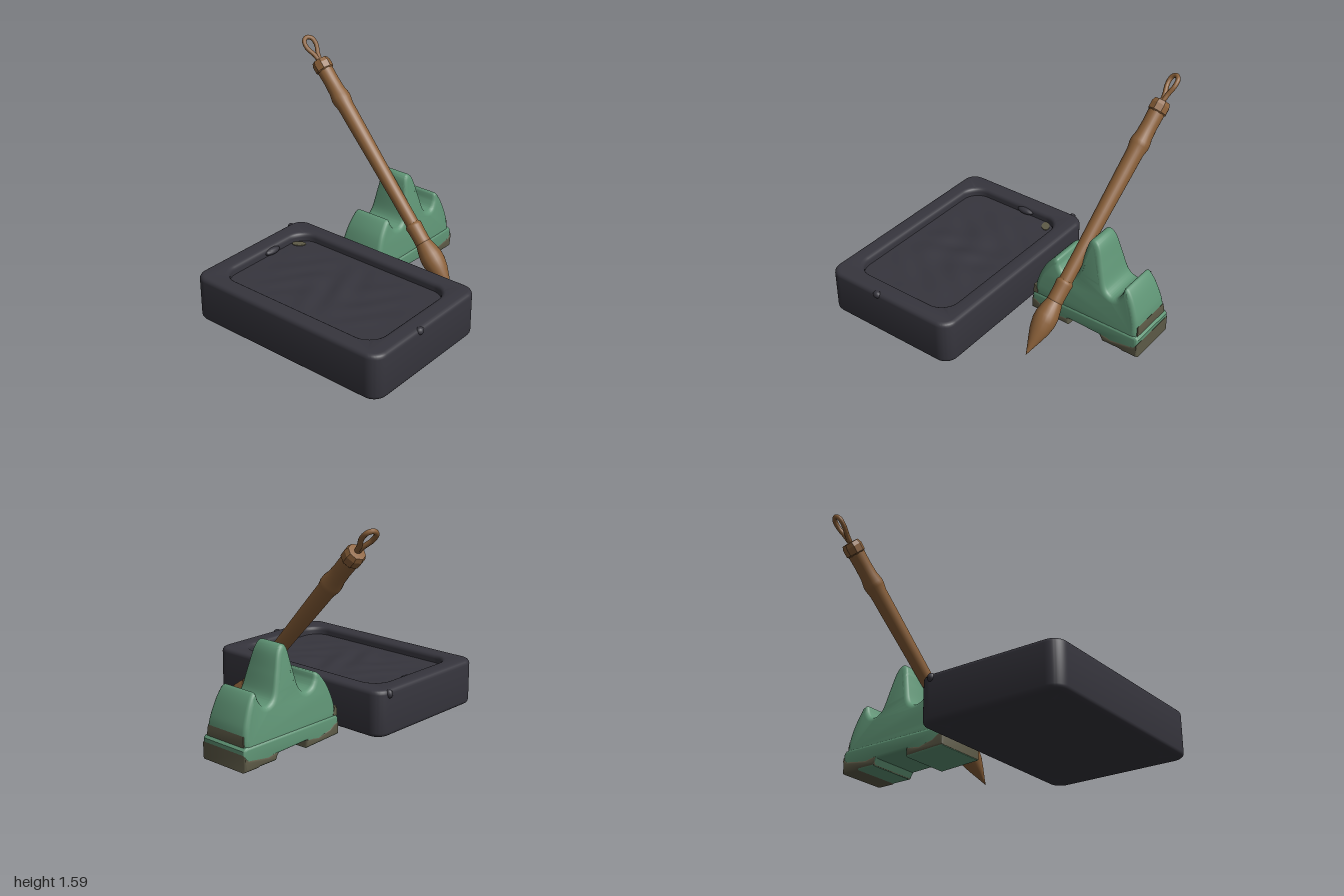
import * as THREE from 'three';
import { toCreasedNormals } from 'three/addons/utils/BufferGeometryUtils.js';

const material = (name, color) => {
  const m = new THREE.MeshStandardMaterial({ color });
  m.name = name;
  return m;
};

const add = (group, name, geometry, mat) => {
  const mesh = new THREE.Mesh(geometry, mat);
  mesh.name = name;
  group.add(mesh);
  return mesh;
};

const vec2 = (list) => list.map(([x, y]) => new THREE.Vector2(x, y));

const roundedRect = (w, h, r, Type = THREE.Shape) => {
  const s = new Type();
  [[1, -1, -90], [1, 1, 0], [-1, 1, 90], [-1, -1, 180]].forEach(([sx, sy, a]) => {
    const a0 = THREE.MathUtils.degToRad(a);
    s.absarc(sx * (w / 2 - r), sy * (h / 2 - r), r, a0, a0 + Math.PI / 2, false);
  });
  s.closePath();
  return s;
};

// Extrusion centred on z = 0 whose overall size, bevel included, equals shape and depth
const slab = (shape, depth, bevel = 0) => {
  const g = new THREE.ExtrudeGeometry(shape, {
    depth: depth - 2 * bevel, bevelEnabled: bevel > 0, bevelThickness: bevel,
    bevelSize: bevel, bevelOffset: -bevel, bevelSegments: 4, curveSegments: 8,
  });
  return g.translate(0, 0, bevel - depth / 2);
};

const smooth = (g, crease = 0.7) => toCreasedNormals(g, crease);

function makeInkStone(charcoal, moss) {
  const g = new THREE.Group();
  g.name = 'inkStone';
  g.position.set(-0.464, 0, 0.16);

  // Walls with a rounded rim around the recess
  const ring = roundedRect(1.072, 1.59, 0.1);
  ring.holes.push(roundedRect(0.81, 1.31, 0.13, THREE.Path));
  const walls = slab(ring, 0.33, 0.03).rotateX(-Math.PI / 2).translate(0, 0.21, 0);
  add(g, 'stoneWalls', smooth(walls), charcoal);

  // Solid underside
  const base = slab(roundedRect(0.9, 1.4, 0.12), 0.22).rotateX(-Math.PI / 2);
  add(g, 'stoneBase', smooth(base.translate(0, 0.155, 0)), charcoal);

  // Gently worn floor of the recess
  const floor = new THREE.PlaneGeometry(0.86, 1.36, 36, 54).rotateX(-Math.PI / 2);
  const p = floor.attributes.position;
  for (let i = 0; i < p.count; i++) {
    const x = p.getX(i), z = p.getZ(i);
    const fade = Math.max(0, 1 - (x / 0.4) ** 2) * Math.max(0, 1 - (z / 0.65) ** 2);
    p.setY(i, 0.315 + 0.01 * fade * Math.sin(x * 17 + 2 * Math.sin(z * 9)) * Math.cos(z * 15 - x * 4));
  }
  floor.computeVertexNormals();
  add(g, 'recessFloor', floor, charcoal);

  // Chips and nubs on the rim
  [['frontNub', -0.09, 0.355, 0.782, 0.032, 0.027, 0.026],
    ['backNub', 0.43, 0.345, -0.785, 0.026, 0.032, 0.028],
    ['innerNub', 0.09, 0.34, -0.655, 0.07, 0.025, 0.03]].forEach(([name, x, y, z, sx, sy, sz]) => {
    const nub = add(g, name, new THREE.SphereGeometry(1, 12, 8), charcoal);
    nub.position.set(x, y, z);
    nub.scale.set(sx, sy, sz);
  });

  // Mossy spot in the corner of the recess
  const spot = add(g, 'mossSpot', new THREE.CylinderGeometry(1, 1, 0.006, 20), moss);
  spot.position.set(0.315, 0.318, -0.605);
  spot.scale.set(0.03, 1, 0.05);
  spot.rotation.y = 0.6;
  return g;
}

function makeBrushRest(green, moss) {
  const g = new THREE.Group();
  g.name = 'brushRest';
  g.position.z = -0.115;

  // Half depth narrows towards the peaks, ever faster
  const tapered = (shape, bevel, spread) => {
    const geo = slab(shape, 0.38, bevel);
    const p = geo.attributes.position;
    for (let i = 0; i < p.count; i++) {
      const h = p.getY(i) - 0.15;
      p.setZ(i, p.getZ(i) * spread * (1 - 0.42 * h - 0.53 * h * h));
    }
    return smooth(geo);
  };

  // Three mountain peaks
  const ridge = new THREE.Shape();
  ridge.moveTo(0.98, 0.13);
  ridge.lineTo(0.98, 0.2);
  ridge.splineThru(vec2([[0.965, 0.29], [0.92, 0.41], [0.875, 0.48], [0.845, 0.485], [0.825, 0.43],
    [0.79, 0.385], [0.74, 0.385], [0.695, 0.43], [0.655, 0.56], [0.615, 0.69], [0.57, 0.738],
    [0.525, 0.71], [0.495, 0.58], [0.46, 0.44], [0.41, 0.39], [0.35, 0.4], [0.315, 0.44],
    [0.295, 0.487], [0.255, 0.475], [0.19, 0.39], [0.145, 0.28], [0.13, 0.2]]));
  ridge.lineTo(0.13, 0.13);
  ridge.closePath();
  add(g, 'mountainRidge', tapered(ridge, 0.035, 1), green);

  // Plinth with two feet
  const plinth = new THREE.Shape(vec2([[0.12, 0.02], [0.43, 0.005], [0.43, 0.06], [0.69, 0.05],
    [0.72, 0.005], [1, 0.005], [1, 0.145], [0.98, 0.165], [0.14, 0.165], [0.12, 0.145]]));
  add(g, 'plinth', smooth(slab(plinth, 0.395, 0.02)), green);

  // Worn patches wrapping the feet
  const worn = (points) => new THREE.Shape(vec2(points));
  const rightFoot = worn([[0.117, 0.024], [0.433, 0.009], [0.433, 0.07], [0.38, 0.07], [0.32, 0.06],
    [0.26, 0.075], [0.21, 0.085], [0.17, 0.11], [0.14, 0.12], [0.117, 0.115]]);
  const leftFoot = worn([[0.717, 0.008], [0.86, 0.008], [0.88, 0.001], [1.003, 0.001], [1.003, 0.12],
    [0.985, 0.105], [0.96, 0.085], [0.92, 0.08], [0.86, 0.07], [0.79, 0.06], [0.74, 0.07], [0.69, 0.07]]);
  add(g, 'rightFootPatch', smooth(slab(rightFoot, 0.401, 0.02)), moss);
  add(g, 'leftFootPatch', smooth(slab(leftFoot, 0.401, 0.02)), moss);

  // Worn patches on the ends of the ridge
  const rightEnd = worn([[0.126, 0.16], [0.165, 0.165], [0.16, 0.19], [0.145, 0.22], [0.128, 0.225]]);
  const leftEnd = worn([[0.955, 0.165], [0.984, 0.16], [0.984, 0.2], [0.979, 0.235], [0.965, 0.22]]);
  add(g, 'rightEndPatch', tapered(rightEnd, 0, 1.012), moss);
  add(g, 'leftEndPatch', tapered(leftEnd, 0, 0.9), moss);
  return g;
}

function makeBrush(wood) {
  const g = new THREE.Group();
  g.name = 'brush';
  g.position.set(0.397, 0.022, 0.528);
  const axis = new THREE.Vector3(0.145, 1.4, -1.35).normalize();
  g.quaternion.setFromUnitVectors(new THREE.Vector3(0, 1, 0), axis);

  const turned = (name, points) => add(g, name, new THREE.LatheGeometry(vec2(points), 24), wood);
  turned('bristles', [[0, 0], [0.018, 0.05], [0.045, 0.12], [0.07, 0.19], [0.084, 0.26],
    [0.083, 0.31], [0.07, 0.37], [0.056, 0.42], [0.05, 0.44]]);
  turned('ferrule', [[0.04, 0.4], [0.056, 0.41], [0.059, 0.425], [0.057, 0.45], [0.059, 0.53],
    [0.062, 0.55], [0.06, 0.565], [0.05, 0.575]]);
  turned('handle', [[0.049, 0.56], [0.05, 0.8], [0.054, 1.1], [0.059, 1.4], [0.061, 1.57],
    [0.071, 1.62], [0.071, 1.65], [0.061, 1.7], [0.058, 1.78], [0.06, 1.9]]);

  // Faceted cap with chamfered ends
  const cap = new THREE.LatheGeometry(vec2([[0, 1.87], [0.055, 1.87], [0.07, 1.885], [0.071, 1.935],
    [0.06, 1.965], [0, 1.97]]), 8);
  add(g, 'cap', smooth(cap, 0.3), wood);

  // Hanging loop
  const path = new THREE.CatmullRomCurve3([[0, 1.96, 0], [0.014, 2.02, 0.006], [0.036, 2.09, 0.016],
    [0.031, 2.145, 0.012], [0, 2.166, 0], [-0.031, 2.145, -0.012], [-0.036, 2.09, -0.016],
    [-0.014, 2.02, -0.006]].map((q) => new THREE.Vector3(...q)), true);
  add(g, 'hangingLoop', new THREE.TubeGeometry(path, 48, 0.017, 10, true), wood);
  return g;
}

export function createModel() {
  const charcoal = material('charcoal', 0x36353d);
  const green = material('jadeGreen', 0x5f9475);
  const moss = material('mossBrown', 0x5d5a47);
  const wood = material('woodBrown', 0x8a6039);

  const model = new THREE.Group();
  model.name = 'calligraphySet';
  model.add(makeInkStone(charcoal, moss), makeBrushRest(green, moss), makeBrush(wood));
  return model;
}
